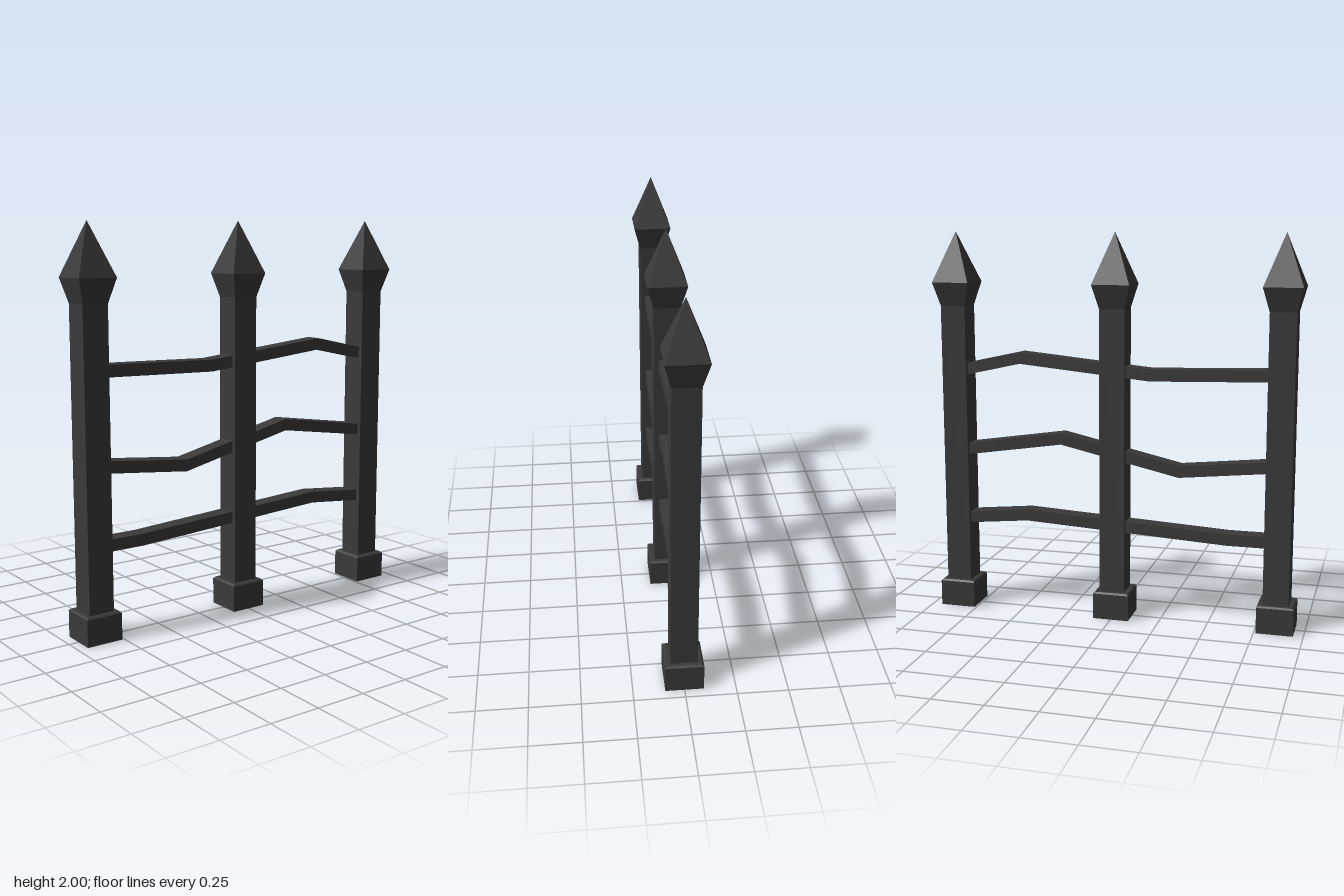
import * as THREE from 'three';

const iron = new THREE.MeshStandardMaterial({ color: 0x3a3a3a, flatShading: true });

// Square-section turned part: profile is a list of [half width, height]
function squareTurned(name, profile) {
  const points = profile.map(([w, y]) => new THREE.Vector2(w * Math.SQRT2, y));
  const geometry = new THREE.LatheGeometry(points, 4, Math.PI / 4).toNonIndexed();
  geometry.computeVertexNormals();
  const mesh = new THREE.Mesh(geometry, iron);
  mesh.name = name;
  return mesh;
}

// Post with a plinth, a square shaft and a spear-shaped finial
function createPost(z) {
  const post = new THREE.Group();
  post.name = 'post';
  post.add(
    squareTurned('plinth', [[0, 0], [0.094, 0], [0.094, 0.135], [0.086, 0.143], [0, 0.143]]),
    squareTurned('shaft', [[0.066, 0.13], [0.066, 1.62]]),
    squareTurned('finial', [[0.066, 1.62], [0.098, 1.74], [0, 2]])
  );
  post.position.z = z;
  return post;
}

// Bent rail: path is a list of [z, centre height] from front to back
function createRail(path, name) {
  const half = 0.03, width = 0.086;
  const lower = path.map(([z, y]) => new THREE.Vector2(-z, y - half));
  const upper = path.map(([z, y]) => new THREE.Vector2(-z, y + half)).reverse();
  const geometry = new THREE.ExtrudeGeometry(new THREE.Shape([...lower, ...upper]), {
    depth: width, bevelEnabled: false
  });
  geometry.translate(0, 0, -width / 2).rotateY(Math.PI / 2);
  const mesh = new THREE.Mesh(geometry, iron);
  mesh.name = name;
  return mesh;
}

export function createModel() {
  const fence = new THREE.Group();
  fence.name = 'fence';
  for (const z of [0.855, 0, -0.855]) fence.add(createPost(z));

  // Three crooked rails running through the middle post
  fence.add(
    createRail([[0.8, 1.305], [0.19, 1.288], [-0.5, 1.355], [-0.8, 1.288]], 'topRail'),
    createRail([[0.8, 0.847], [0.345, 0.8], [-0.28, 0.94], [-0.8, 0.861]], 'middleRail'),
    createRail([[0.8, 0.462], [0.6, 0.462], [-0.47, 0.52], [-0.8, 0.487]], 'bottomRail')
  );
  return fence;
}
